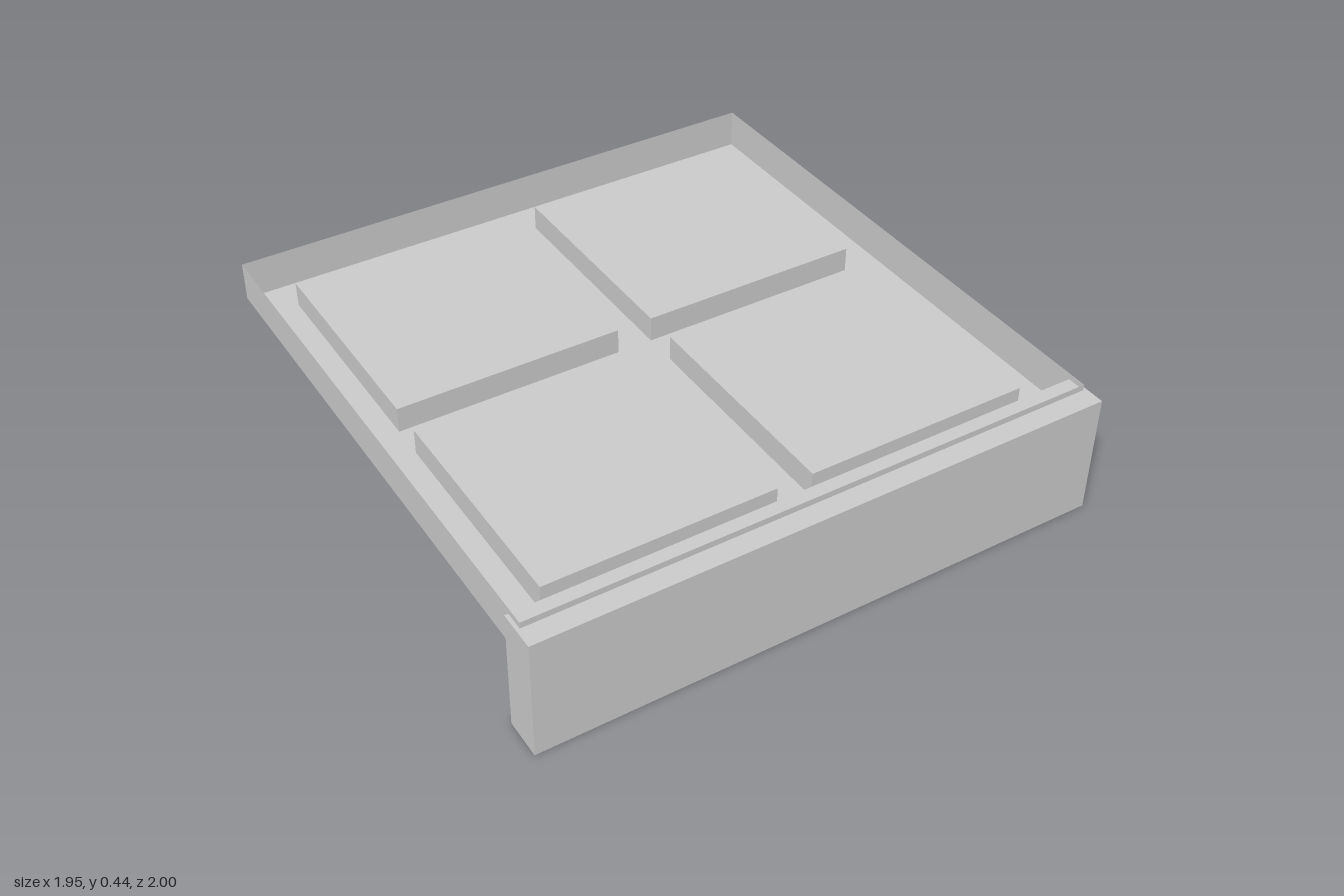
import * as THREE from 'three';

const material = new THREE.MeshStandardMaterial({ color: 0xcccccc, side: THREE.DoubleSide, flatShading: true });

// Box between two corners; faces listed in `open` are left out
// (0 +x, 1 -x, 2 +y, 3 -y, 4 +z, 5 -z)
function box(name, [x0, y0, z0], [x1, y1, z1], open = []) {
  const geometry = new THREE.BoxGeometry(x1 - x0, y1 - y0, z1 - z0);
  const index = Array.from(geometry.index.array);
  geometry.setIndex(index.filter((_, i) => !open.includes(Math.floor(i / 6))));
  geometry.clearGroups();
  geometry.translate((x0 + x1) / 2, (y0 + y1) / 2, (z0 + z1) / 2);
  const mesh = new THREE.Mesh(geometry, material);
  mesh.name = name;
  return mesh;
}

// Rectangle outline in plan; the shape's y axis is -z
function outline(path, x0, x1, z0, z1) {
  path.moveTo(x0, -z0);
  path.lineTo(x0, -z1);
  path.lineTo(x1, -z1);
  path.lineTo(x1, -z0);
  path.closePath();
  return path;
}

export function createModel() {
  const model = new THREE.Group();
  model.name = 'drawer';
  const floorY = 0.303, rimY = 0.438, panelY = 0.39;
  const halfW = 0.965, backZ = -1, frontZ = 0.93;

  // Thick front board
  model.add(box('frontBoard', [-0.977, 0, 0.866], [0.977, 0.417, 1]));

  // Thin walls around the tray, open above and below
  model.add(box('trayWalls', [-halfW, floorY, backZ], [halfW, rimY, frontZ], [2, 3]));

  // Floor with four raised panels, hollow from below
  const floor = outline(new THREE.Shape(), -halfW, halfW, backZ, frontZ);
  for (const [x0, x1] of [[-0.834, -0.061], [0.061, 0.834]]) {
    for (const [z0, z1] of [[-0.877, -0.098], [0.019, 0.797]]) {
      floor.holes.push(outline(new THREE.Path(), x0, x1, z0, z1));
      model.add(box('raisedPanel', [x0, floorY, z0], [x1, panelY, z1], [3]));
    }
  }
  const floorGeometry = new THREE.ShapeGeometry(floor);
  floorGeometry.rotateX(-Math.PI / 2);
  floorGeometry.translate(0, floorY, 0);
  const floorMesh = new THREE.Mesh(floorGeometry, material);
  floorMesh.name = 'trayFloor';
  model.add(floorMesh);

  return model;
}
